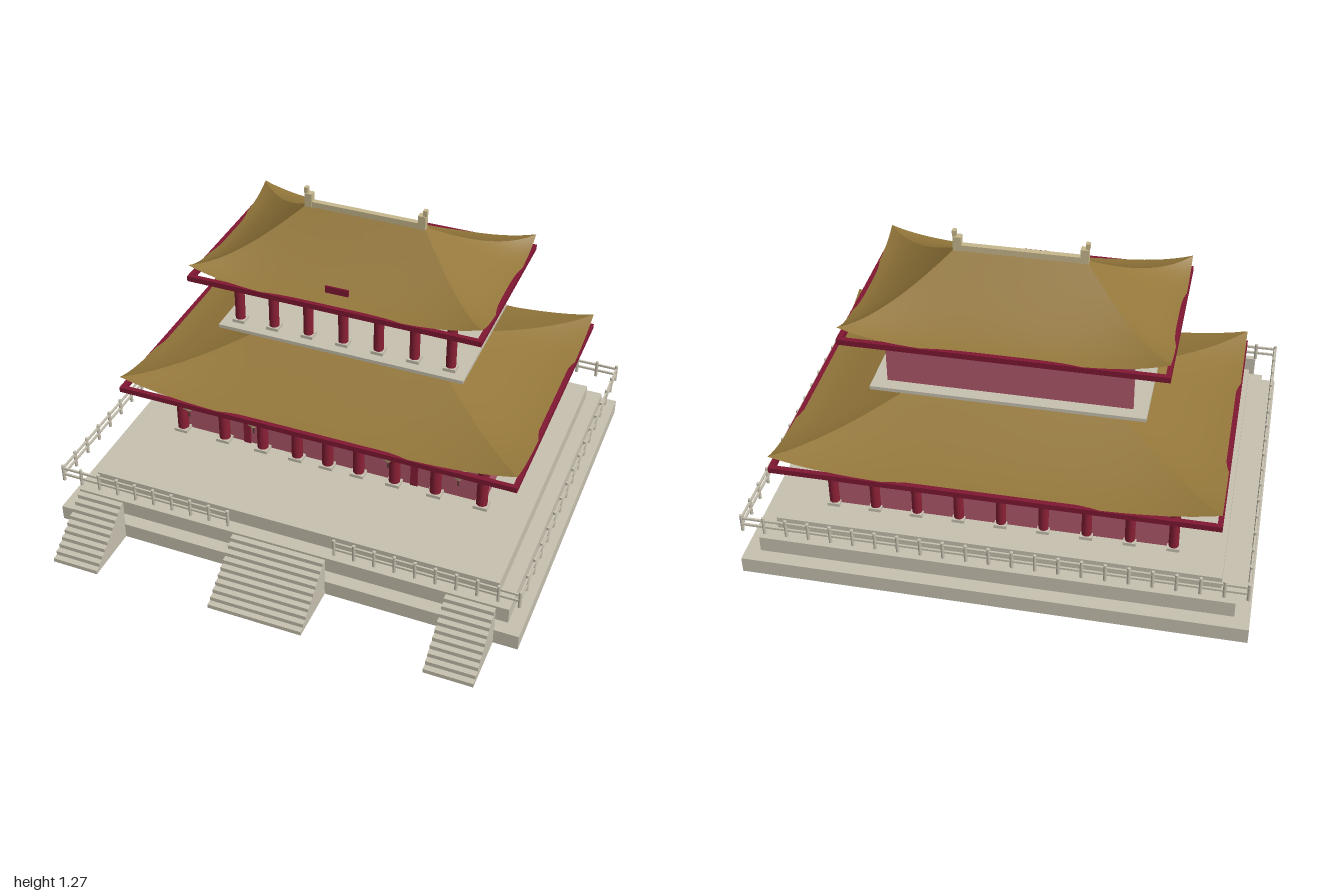
import * as THREE from 'three';

const mat = (name, color, side = THREE.FrontSide) => {
  const m = new THREE.MeshStandardMaterial({ color, side });
  m.name = name;
  return m;
};

export function createModel() {
  const stone = mat('stone', 0xc8c1b0);
  const roofTile = mat('roof tile', 0x94773a, THREE.DoubleSide);
  const wallPink = mat('wall rose', 0xb0586a);
  const columnRed = mat('column red', 0x8a2036);
  const trimRed = mat('trim red', 0x801732);
  const ridgeTan = mat('ridge tan', 0xc8b98e);
  const dark = mat('dark cord', 0x4a3a2a);

  const model = new THREE.Group();
  const add = (name, geo, m, x = 0, y = 0, z = 0, parent = model) => {
    const mesh = new THREE.Mesh(geo, m);
    mesh.name = name;
    mesh.position.set(x, y, z);
    parent.add(mesh);
    return mesh;
  };
  // box given by its extents on each axis
  const block = (name, m, [x0, x1], [y0, y1], [z0, z1], parent) =>
    add(name, new THREE.BoxGeometry(x1 - x0, y1 - y0, z1 - z0), m,
      (x0 + x1) / 2, (y0 + y1) / 2, (z0 + z1) / 2, parent);
  const group = (name) => {
    const g = new THREE.Group();
    g.name = name;
    model.add(g);
    return g;
  };

  // Three-tier terrace
  [[1, 0, 0.067, -0.925, 0.67], [0.94, 0.067, 0.135, -0.865, 0.612], [0.88, 0.135, 0.2, -0.808, 0.553]]
    .forEach(([x, y0, y1, z0, z1]) => block('terraceTier', stone, [-x, x], [y0, y1], [z0, z1]));

  // Stairs: stepped profile extruded across the width
  const stairs = (x0, x1) => {
    const n = 10, zBack = 0.665, zFront = 0.915, h = 0.18;
    const s = new THREE.Shape();
    s.moveTo(zBack, 0);
    s.lineTo(zFront, 0);
    for (let i = 0; i < n; i++) {
      const z = zFront - (zFront - zBack) * i / n;
      s.lineTo(z, h * (i + 1) / n);
      s.lineTo(z - (zFront - zBack) / n, h * (i + 1) / n);
    }
    const g = new THREE.ExtrudeGeometry(s, { depth: x1 - x0, bevelEnabled: false });
    g.rotateY(-Math.PI / 2);
    add('stairs', g, stone, x1, 0, 0);
  };
  stairs(-0.2, 0.2);
  stairs(0.7, 0.9);
  stairs(-0.9, -0.7);

  // Balustrade around the terrace, open at the central stairs
  const railing = group('railing');
  const rail = (ax, az, bx, bz, bays) => {
    const dx = bx - ax, dz = bz - az;
    for (const y of [0.232, 0.262]) {
      add('rail', new THREE.BoxGeometry(Math.abs(dx) + 0.008, 0.009, Math.abs(dz) + 0.008), stone,
        (ax + bx) / 2, y, (az + bz) / 2, railing);
    }
    const post = new THREE.CylinderGeometry(0.007, 0.007, 0.077, 8);
    for (let i = 0; i <= bays; i++) {
      add('railPost', post, stone, ax + dx * i / bays, 0.2385, az + dz * i / bays, railing);
    }
  };
  rail(-0.985, 0.645, -0.23, 0.645, 9);
  rail(0.23, 0.645, 0.985, 0.645, 9);
  rail(-0.985, -0.902, 0.985, -0.902, 22);
  rail(-0.985, -0.902, -0.985, 0.645, 16);
  rail(0.985, -0.902, 0.985, 0.645, 16);

  // Columns with square stone bases
  const column = (x, y0, y1, z, r) => {
    add('column', new THREE.CylinderGeometry(r, r, y1 - y0, 16), columnRed, x, (y0 + y1) / 2, z);
    add('columnBase', new THREE.BoxGeometry(r * 2.5, 0.014, r * 2.5), stone, x, y0 + 0.007, z);
  };

  // Lower hall
  block('lowerWalls', wallPink, [-0.685, 0.685], [0.2, 0.477], [-0.67, 0.13]);
  for (const x of [-0.68, -0.48, -0.3, -0.14, 0, 0.14, 0.3, 0.48, 0.68]) {
    column(x, 0.2, 0.477, 0.15, 0.024);
  }
  for (const s of [-1, 1]) {
    block('doorPanel', columnRed, [s * 0.38 - 0.016, s * 0.38 + 0.016], [0.2, 0.477], [0.13, 0.137]);
  }
  for (let i = 0; i < 9; i++) column(-0.68 + 0.17 * i, 0.2, 0.477, -0.675, 0.02);

  // Upper hall: floor, open colonnade and back wall
  block('upperFloor', stone, [-0.537, 0.537], [0.702, 0.717], [-0.56, 0.04]);
  block('upperBackWall', wallPink, [-0.48, 0.48], [0.717, 0.937], [-0.508, -0.494]);
  for (let i = -3; i <= 3; i++) column(i * 0.155, 0.717, 0.937, -0.025, 0.021);

  // One curved slope of a hipped roof; u runs along the eave, t from eave to ridge
  const slope = (o, isEnd, sign) => {
    const nu = 32, nt = 12, pos = [], idx = [];
    for (let j = 0; j <= nt; j++) {
      const t = j / nt;
      for (let i = 0; i <= nu; i++) {
        const u = (i / nu) * 2 - 1;
        const hx = THREE.MathUtils.lerp(o.hx, o.ridge, t), hz = o.hz * (1 - t);
        const lift = o.lift * Math.pow(Math.abs(u), 4) * Math.pow(1 - t, 3);
        const y = o.eave + (o.top - o.eave) * Math.pow(t, 1.4) + lift;
        if (isEnd) pos.push(sign * hx, y, -sign * u * hz);
        else pos.push(sign * u * hx, y, sign * hz);
      }
    }
    const w = nu + 1;
    for (let j = 0; j < nt; j++) {
      for (let i = 0; i < nu; i++) {
        const a = j * w + i;
        idx.push(a, a + 1, a + w + 1, a, a + w + 1, a + w);
      }
    }
    const g = new THREE.BufferGeometry();
    g.setAttribute('position', new THREE.Float32BufferAttribute(pos, 3));
    g.setIndex(idx);
    g.computeVertexNormals();
    return g;
  };

  // Roof: four slopes, red eave frame, ridge beam and stepped ridge ends
  const roof = (name, o) => {
    const g = group(name);
    g.position.z = -0.262;
    for (const sign of [-1, 1]) {
      add('roofSlope', slope(o, false, sign), roofTile, 0, 0, 0, g);
      add('roofHipEnd', slope(o, true, sign), roofTile, 0, 0, 0, g);
      const fx = o.hx + 0.005, fz = o.hz + 0.005, y = [o.eave - 0.02, o.eave + 0.003], w = 0.02;
      const z = sign * (fz - w / 2), x = sign * (fx - w / 2);
      block('eaveBeam', trimRed, [-fx, fx], y, [z - w / 2, z + w / 2], g);
      block('eaveBeam', trimRed, [x - w / 2, x + w / 2], y, [-fz + w, fz - w], g);
      const e = sign * (o.ridge - 0.005), f = sign * (o.ridge + 0.006);
      block('ridgeEnd', ridgeTan, [e - 0.016, e + 0.016], [o.top - 0.01, o.top + 0.05], [-0.015, 0.015], g);
      block('ridgeEndTip', ridgeTan, [f - 0.008, f + 0.008], [o.top + 0.05, o.top + 0.075], [-0.01, 0.01], g);
    }
    block('ridgeBeam', ridgeTan, [-o.ridge, o.ridge], [o.top - 0.01, o.top + 0.015], [-0.012, 0.012], g);
  };
  roof('lowerRoof', { hx: 0.86, hz: 0.597, ridge: 0.25, eave: 0.5, top: 0.7, lift: 0.055 });
  roof('upperRoof', { hx: 0.62, hz: 0.38, ridge: 0.25, eave: 0.98, top: 1.2, lift: 0.055 });

  // Plain name board under the upper eave
  block('board', trimRed, [-0.05, 0.05], [0.927, 1.03], [0.041, 0.049]);

  // Hanging lanterns
  for (const x of [-0.6, -0.3, 0.3, 0.6]) {
    const l = group('lantern');
    l.position.set(x, 0.415, 0.235);
    add('lanternBody', new THREE.SphereGeometry(0.03, 16, 12).scale(1, 0.85, 1), ridgeTan, 0, 0, 0, l);
    for (const s of [-1, 1]) {
      add('lanternCap', new THREE.CylinderGeometry(0.012, 0.012, 0.006, 12), ridgeTan, 0, s * 0.026, 0, l);
    }
    add('tassel', new THREE.CylinderGeometry(0.002, 0.004, 0.036, 6), dark, 0, -0.046, 0, l);
  }

  return model;
}
